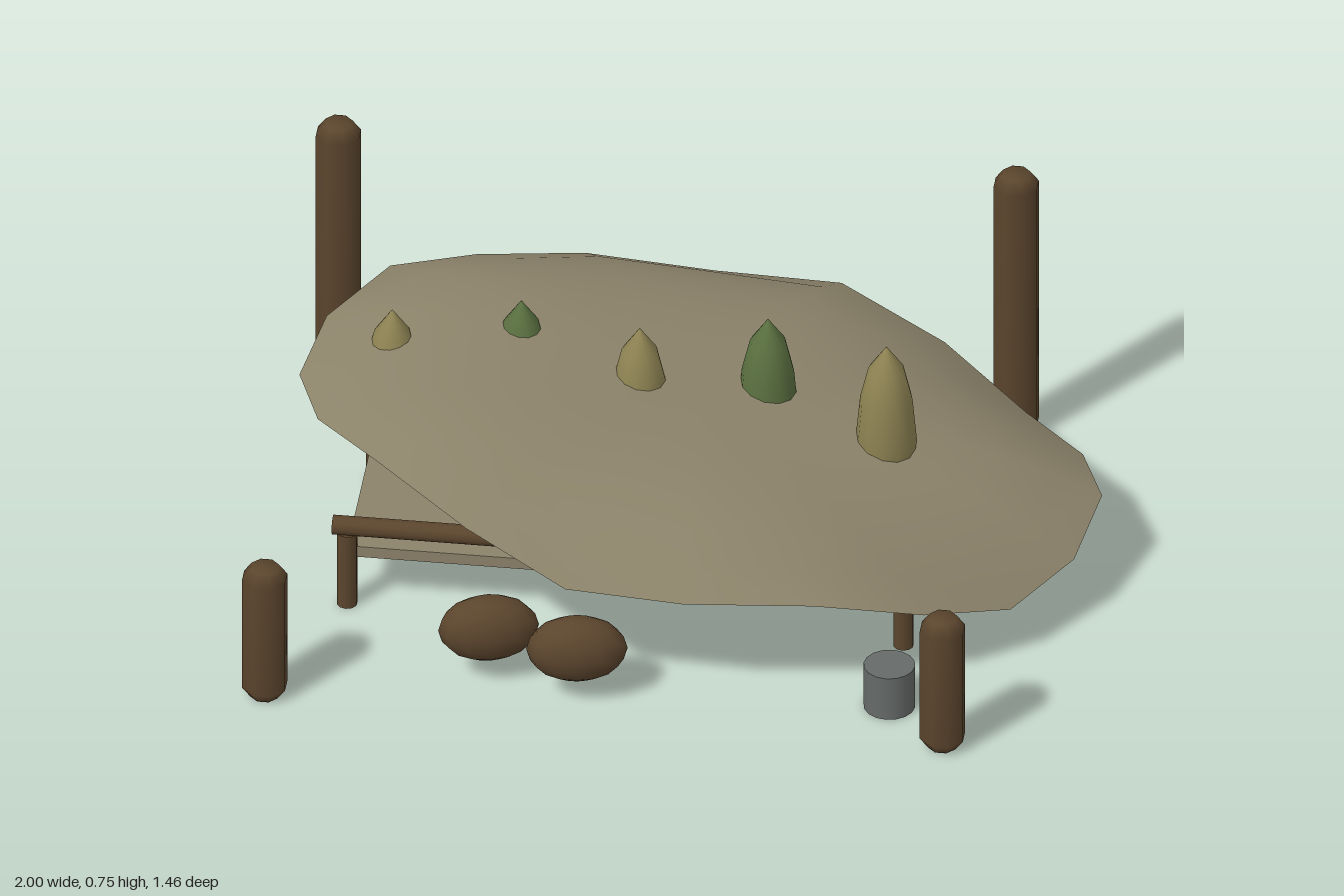
import * as THREE from 'three';

const mat = (name, color) => new THREE.MeshStandardMaterial({ name, color });

// Rim of the shelter sheet, going round counterclockwise seen from above
const RIM = [
  [0.997, 0.23, -0.1], [0.925, 0.215, -0.29], [0.765, 0.215, -0.45], [0.55, 0.32, -0.57],
  [0.29, 0.43, -0.63], [-0.02, 0.435, -0.635], [-0.33, 0.5, -0.575], [-0.58, 0.555, -0.455],
  [-0.77, 0.61, -0.3], [-0.9, 0.58, -0.11], [-0.94, 0.54, 0.09], [-0.87, 0.545, 0.28],
  [-0.71, 0.55, 0.44], [-0.47, 0.45, 0.56], [-0.22, 0.335, 0.62], [0.07, 0.32, 0.625],
  [0.38, 0.305, 0.57], [0.635, 0.22, 0.45], [0.825, 0.145, 0.29], [0.955, 0.175, 0.1],
];

// Tilted mid-plane of the sheet
const planeY = (x, z) => 0.38 - 0.22 * x - 0.1 * z;

// Surface spanned inside the rim, raised or sunk by lift(r); the rim's waviness fades inwards
function sheetGeometry(lift, faceUp) {
  const cx = 0.028, rings = 8, n = RIM.length;
  const pos = [cx, planeY(cx, 0) + lift(0), 0];
  const index = [];
  for (let k = 1; k <= rings; k++) {
    const r = k / rings;
    for (const [rx, ry, rz] of RIM) {
      const x = cx + (rx - cx) * r, z = rz * r;
      pos.push(x, planeY(x, z) + (ry - planeY(rx, rz)) * r ** 3 + lift(r), z);
    }
  }
  const tri = (a, b, c) => (faceUp ? index.push(a, b, c) : index.push(a, c, b));
  for (let i = 0; i < n; i++) {
    const j = (i + 1) % n;
    tri(0, 1 + i, 1 + j);
    for (let k = 0; k < rings - 1; k++) {
      const a = 1 + k * n, b = a + n;
      tri(a + i, b + i, b + j);
      tri(a + i, b + j, a + j);
    }
  }
  const g = new THREE.BufferGeometry();
  g.setAttribute('position', new THREE.Float32BufferAttribute(pos, 3));
  g.setIndex(index);
  g.computeVertexNormals();
  return g;
}

const lathe = (pts, sides) =>
  new THREE.LatheGeometry(pts.map(([x, y]) => new THREE.Vector2(x, y)), sides);

export function createModel() {
  const group = new THREE.Group();
  const canvas = mat('canvas', 0x8c836a);
  const wood = mat('darkWood', 0x5b452d);
  const metal = mat('metal', 0x666a69);
  const straw = mat('straw', 0x8e8353);
  const leaf = mat('leaf', 0x5a7040);
  const add = (name, geometry, material, x = 0, y = 0, z = 0) => {
    const m = new THREE.Mesh(geometry, material);
    m.name = name;
    m.position.set(x, y, z);
    group.add(m);
    return m;
  };

  // Sagging canopy: domed top and shallow belly
  add('canopyTop', sheetGeometry((r) => 0.15 * (1 - r ** 3.5), true), canvas);
  add('canopyUnderside', sheetGeometry((r) => -0.105 * (1 - r ** 4), false), canvas);

  // Four round-ended corner posts, tall at the back
  for (const x of [-0.947, 0.71]) {
    for (const [z, h] of [[-0.68, 0.755], [0.678, 0.375]]) {
      const g = lathe([[0, 0], [0.036, 0], [0.057, 0.03], [0.057, h - 0.03], [0.036, h], [0, h]], 8);
      g.rotateY(Math.PI / 8);
      add('cornerPost', g, wood, x, 0, z);
    }
  }

  // Cot: bed board, legs and side rails
  add('cotBed', new THREE.BoxGeometry(1.36, 0.03, 0.52), canvas, -0.12, 0.15, 0);
  for (const z of [-0.265, 0.265]) {
    for (const x of [-0.8, 0.56]) {
      add('cotLeg', new THREE.CylinderGeometry(0.025, 0.025, 0.21, 10), wood, x, 0.105, z);
    }
    const rail = add('cotRail', new THREE.CylinderGeometry(0.025, 0.025, 1.43, 10), wood, -0.12, 0.228, z);
    rail.rotation.z = Math.PI / 2;
  }

  // Pillow above the cot
  add('pillow', new THREE.SphereGeometry(1, 16, 10), canvas, -0.48, 0.38, -0.04).scale.set(0.2, 0.105, 0.15);

  // Row of pointed tufts
  const tuft = lathe([[0, 0.225], [0.035, 0.25], [0.06, 0.32], [0.075, 0.42], [0.064, 0.54],
    [0.044, 0.625], [0, 0.69]], 12);
  [-0.725, -0.42, -0.12, 0.183, 0.483].forEach((x, i) =>
    add('tuft', tuft, i % 2 ? leaf : straw, x, 0, i % 2 ? -0.08 : 0));

  // Two bundles lying at the front
  [[-0.42, 0.525, 0.25], [-0.196, 0.585, 0.15]].forEach(([x, z, turn]) => {
    const bundle = add('bundle', new THREE.SphereGeometry(1, 12, 8), wood, x, 0.14, z);
    bundle.scale.set(0.123, 0.086, 0.07);
    bundle.rotation.y = turn;
  });

  // Metal can by the front leg
  add('can', new THREE.CylinderGeometry(0.063, 0.063, 0.12, 16), metal, 0.56, 0.06, 0.525);

  return group;
}
